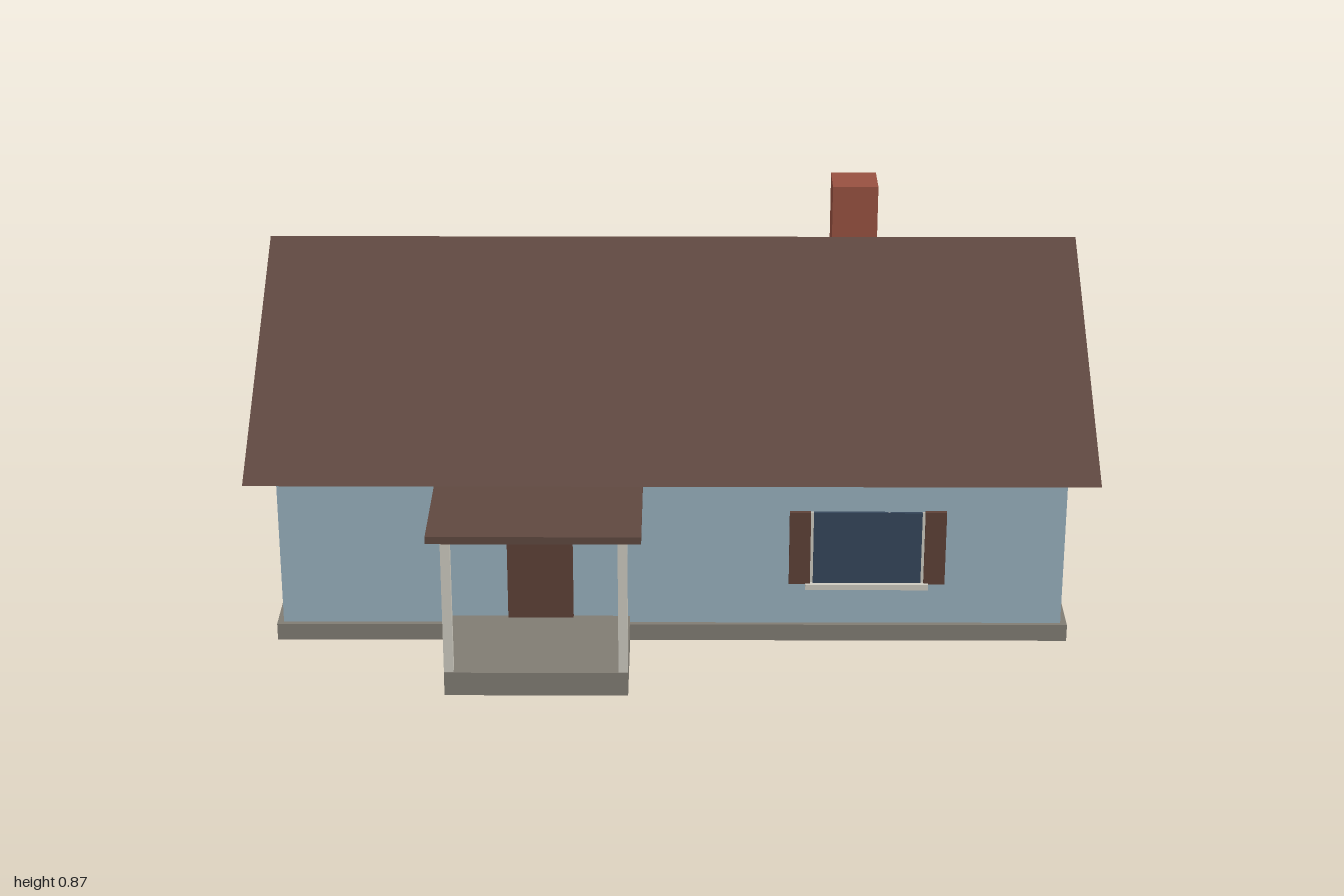
import * as THREE from 'three';

const mat = (name, color) => {
  const m = new THREE.MeshStandardMaterial({ color });
  m.name = name;
  return m;
};

export function createModel() {
  const house = new THREE.Group();
  house.name = 'house';

  const wall = mat('wall blue', 0x98b0bd);
  const roof = mat('roof brown', 0x5f4840);
  const wood = mat('door brown', 0x5d4137);
  const stone = mat('foundation grey', 0x807c73);
  const trim = mat('trim cream', 0xcdcabf);
  const glass = mat('window glass', 0x35465a);
  const brick = mat('chimney brick', 0x985141);

  // Box given by its limits along each axis
  const box = (name, m, [x0, x1], [y0, y1], [z0, z1], parent = house) => {
    const g = new THREE.BoxGeometry(x1 - x0, y1 - y0, z1 - z0);
    const mesh = new THREE.Mesh(g, m);
    mesh.position.set((x0 + x1) / 2, (y0 + y1) / 2, (z0 + z1) / 2);
    mesh.name = name;
    parent.add(mesh);
    return mesh;
  };

  // Body
  box('foundation', stone, [-0.945, 0.945], [0, 0.042], [-0.742, 0.502]);
  box('walls', wall, [-0.93, 0.93], [0.03, 0.432], [-0.73, 0.49]);

  // Gable roof: triangle section run along x, with wall-coloured ends
  const section = new THREE.Shape();
  section.moveTo(-0.555, 0.43);
  section.lineTo(0.8, 0.43);
  section.lineTo(0.122, 0.8);
  section.closePath();
  const prism = new THREE.ExtrudeGeometry(section, { depth: 2, bevelEnabled: false });
  prism.translate(0, 0, -1).rotateY(Math.PI / 2);
  const roofMesh = new THREE.Mesh(prism, [wall, roof]);
  roofMesh.name = 'gableRoof';
  house.add(roofMesh);

  box('chimney', brick, [0.405, 0.52], [0.5, 0.866], [-0.42, -0.307]);

  // Porch
  const porch = new THREE.Group();
  porch.name = 'porch';
  house.add(porch);
  box('porchSlab', stone, [-0.525, -0.1], [0, 0.059], [0.48, 0.775], porch);
  box('porchRoof', roof, [-0.556, -0.068], [0.4, 0.418], [0.485, 0.798], porch);
  for (const x of [-0.525, -0.122]) {
    box('porchPost', trim, [x, x + 0.022], [0.059, 0.4], [0.75, 0.772], porch);
  }

  // Front door
  box('door', wood, [-0.391, -0.235], [0.059, 0.34], [0.485, 0.5]);
  box('doorLintel', trim, [-0.416, -0.21], [0.339, 0.356], [0.485, 0.51]);

  // Window with sill, built facing +z and then turned to its wall
  const addWindow = (name, width, y0, y1, x, z, turn) => {
    const w = new THREE.Group();
    w.name = name;
    const h = width / 2;
    box('pane', glass, [-h, h], [y0, y1], [0, 0.008], w);
    box('sill', trim, [-h - 0.018, h + 0.018], [y0 - 0.012, y0 + 0.002], [0, 0.018], w);
    w.position.set(x, 0, z);
    w.rotation.y = turn;
    house.add(w);
    return w;
  };

  const front = addWindow('frontWindow', 0.256, 0.15, 0.336, 0.463, 0.49, 0);
  box('windowFrame', trim, [-0.135, 0.135], [0.15, 0.336], [0, 0.004], front);
  for (const s of [-1, 1]) {
    box('shutter', wood, [s * 0.16 - 0.025, s * 0.16 + 0.025], [0.15, 0.338], [0, 0.011], front);
  }
  addWindow('backWindow', 0.23, 0.155, 0.33, 0.005, -0.73, Math.PI);
  addWindow('leftWindow', 0.23, 0.155, 0.33, 0.93, -0.118, Math.PI / 2);
  addWindow('rightWindow', 0.23, 0.155, 0.33, -0.93, -0.118, -Math.PI / 2);

  return house;
}
